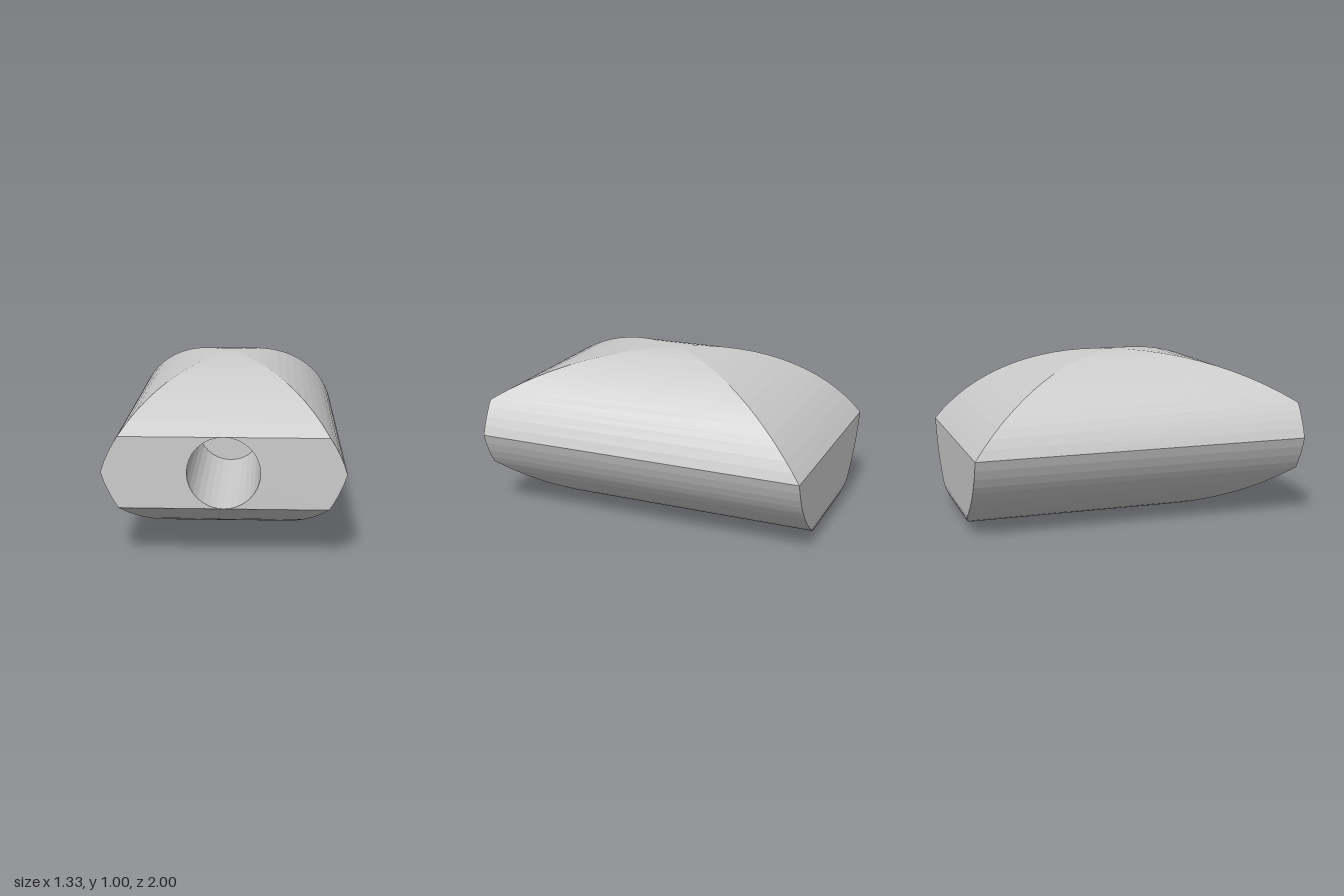
import * as THREE from 'three';

const LENS_R = 0.695;   // radius of both arcs of the lens-shaped front profile
const FRONT_R = 1.817;  // radius of the taper towards the front
const BACK_R = 1.25;    // radius of the taper towards the back
const FILLET = 0.13;    // rounding of the lower back edge
const HOLE_R = 0.2, HOLE_DEPTH = 1.0;

const chord = (r, d) => Math.sqrt(Math.max(0, 2 * r * d - d * d));

// Each level of the body is a rectangle: half width, front z and back z at height y
function level(y) {
  const d = Math.min(y, 1 - y);
  const w = y === 0 ? 0.065 : chord(LENS_R, d);
  const f = d >= 0.3 ? 1 : chord(FRONT_R, d);
  let b = -1;
  if (y > 0.5) b = -chord(BACK_R, d);
  else if (y < FILLET) b = -(1 - FILLET + chord(FILLET, y));
  return { y, w, f, b };
}

function makeLevels() {
  const n = 15, maxAngle = Math.acos(1 - 0.5 / LENS_R);
  const ys = [0.3, 0.7, FILLET, 0.5];
  for (let i = 0; i < n; i++) {
    const y = LENS_R * (1 - Math.cos((i / n) * maxAngle));
    if (i !== 1) ys.push(y);
    ys.push(1 - y);
  }
  return ys.sort((a, b) => a - b).map(level);
}

export function createModel() {
  const group = new THREE.Group();
  const material = new THREE.MeshStandardMaterial({ color: 0xcccccc, flatShading: true });
  const add = (name, geometry, mat = material) => {
    const mesh = new THREE.Mesh(geometry, mat);
    mesh.name = name;
    group.add(mesh);
    return mesh;
  };

  // Body shell: stacked rectangles joined by quads, leaving the flat front open
  const levels = makeLevels();
  const pos = [];
  const quad = (a, b, c, d) => pos.push(...a, ...b, ...c, ...a, ...c, ...d);
  const corners = ({ y, w, f, b }) => [[-w, y, f], [w, y, f], [w, y, b], [-w, y, b]];
  for (let i = 0; i < levels.length - 1; i++) {
    const lo = corners(levels[i]), hi = corners(levels[i + 1]);
    const flatFront = levels[i].f === 1 && levels[i + 1].f === 1;
    for (let s = flatFront ? 1 : 0; s < 4; s++) {
      const t = (s + 1) % 4;
      quad(lo[s], lo[t], hi[t], hi[s]);
    }
  }
  const [a, b, c, d] = corners(levels[0]);
  quad(a, d, c, b);
  const shell = new THREE.BufferGeometry();
  shell.setAttribute('position', new THREE.Float32BufferAttribute(pos, 3));
  shell.computeVertexNormals();
  add('bodyShell', shell);

  // Flat front face with the round opening
  const edge = levels.filter((l) => l.f === 1);
  const outline = [
    ...edge.map((l) => new THREE.Vector2(l.w, l.y)),
    ...edge.reverse().map((l) => new THREE.Vector2(-l.w, l.y)),
  ];
  const face = new THREE.Shape(outline);
  face.holes.push(new THREE.Path().absarc(0, 0.5, HOLE_R, 0, Math.PI * 2, true));
  add('frontFace', new THREE.ShapeGeometry(face, 16)).position.z = 1;

  // Blind bore behind the opening
  const inside = material.clone();
  inside.side = THREE.BackSide;
  const wall = new THREE.CylinderGeometry(HOLE_R, HOLE_R, HOLE_DEPTH, 32, 1, true);
  wall.rotateX(Math.PI / 2);
  add('boreWall', wall, inside).position.set(0, 0.5, 1 - HOLE_DEPTH / 2);
  add('boreFloor', new THREE.CircleGeometry(HOLE_R, 32)).position.set(0, 0.5, 1 - HOLE_DEPTH);

  return group;
}
